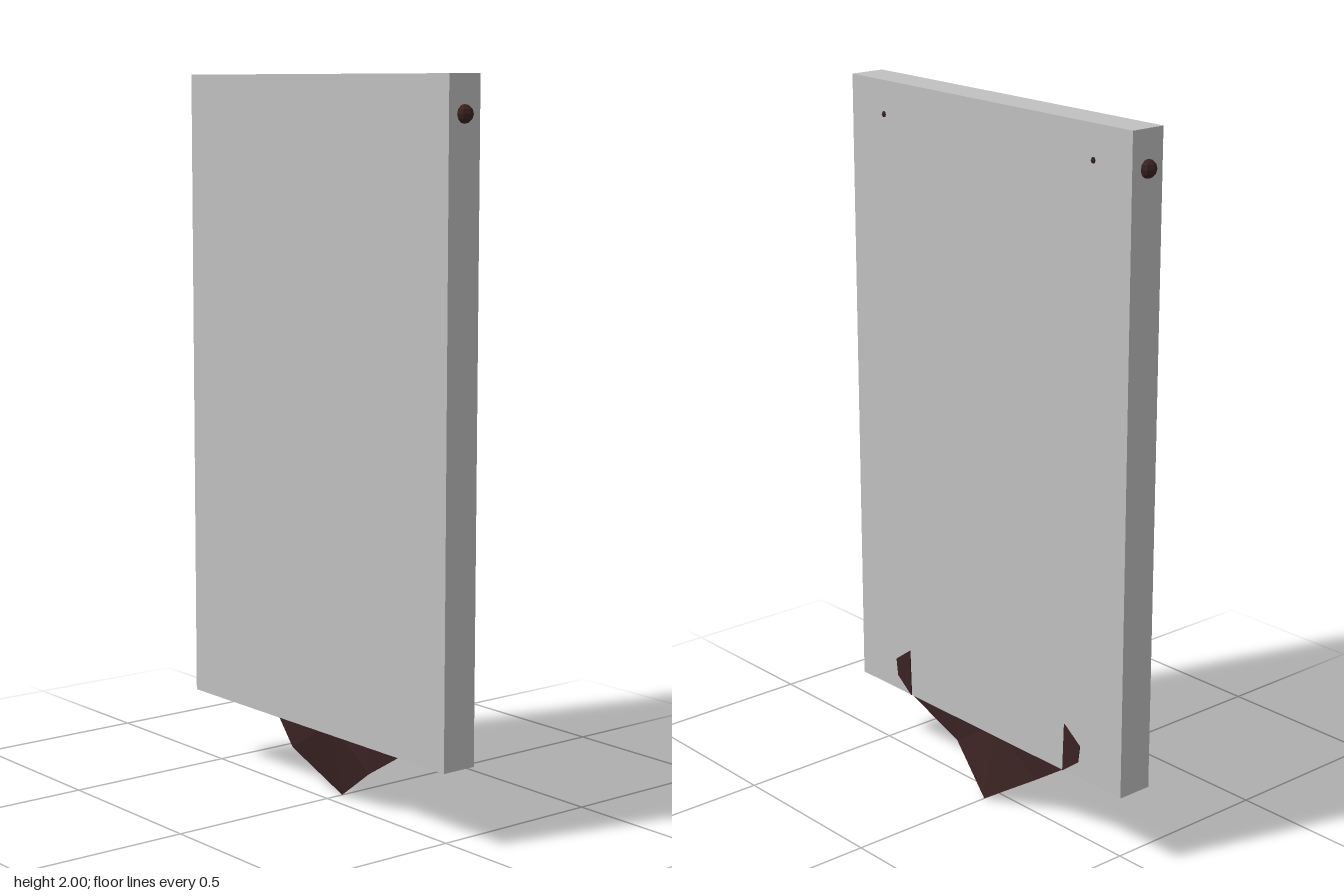
import * as THREE from 'three';

export function createModel() {
  const group = new THREE.Group();
  const grey = new THREE.MeshStandardMaterial({ color: 0xc0c0c0 });
  grey.name = 'board grey';
  const brown = new THREE.MeshStandardMaterial({ color: 0x3a2222, side: THREE.DoubleSide, flatShading: true });
  brown.name = 'dark brown';

  function add(name, geometry, material, x = 0, y = 0, z = 0) {
    const mesh = new THREE.Mesh(geometry, material);
    mesh.name = name;
    mesh.position.set(x, y, z);
    group.add(mesh);
    return mesh;
  }

  // Upright slab
  add('board', new THREE.BoxGeometry(1.1, 1.79, 0.104), grey, 0, 1.105, 0.001);

  // Folded pointed flap: ends and tip lean back, the middle bows forward
  const top = [[-0.33, 0.215, -0.052], [-0.17, 0.215, -0.01], [0, 0.215, -0.012], [0.17, 0.215, -0.01], [0.33, 0.215, -0.052]];
  const low = [[-0.17, 0.108, -0.01], [0, 0, -0.054], [0.17, 0.108, -0.01]];
  const flap = new THREE.BufferGeometry();
  flap.setAttribute('position', new THREE.Float32BufferAttribute([...top, ...low].flat(), 3));
  flap.setIndex([0, 5, 1, 1, 5, 2, 5, 6, 2, 2, 6, 7, 2, 7, 3, 3, 7, 4]);
  const flat = flap.toNonIndexed();
  flat.computeVertexNormals();
  add('pointedFlap', flat, brown);

  for (const side of [-1, 1]) {
    const label = side > 0 ? 'left' : 'right';

    // Faceted knob on the edge of the board
    add(label + 'Knob', new THREE.SphereGeometry(0.025, 8, 6), brown, side * 0.548, 1.9, 0.002);

    // Small stud on the back
    add(label + 'Stud', new THREE.SphereGeometry(0.01, 6, 4), brown, side * 0.413, 1.907, -0.047);

    // Flap end showing on the back of the board
    const wing = new THREE.Shape([[0.325, 0.21], [0.33, 0.35], [0.392, 0.305], [0.385, 0.255]]
      .map(([x, y]) => new THREE.Vector2(side * x, y)));
    add(label + 'FlapEnd', new THREE.ExtrudeGeometry(wing, { depth: 0.005, bevelEnabled: false }), brown, 0, 0, -0.054);
  }
  return group;
}
